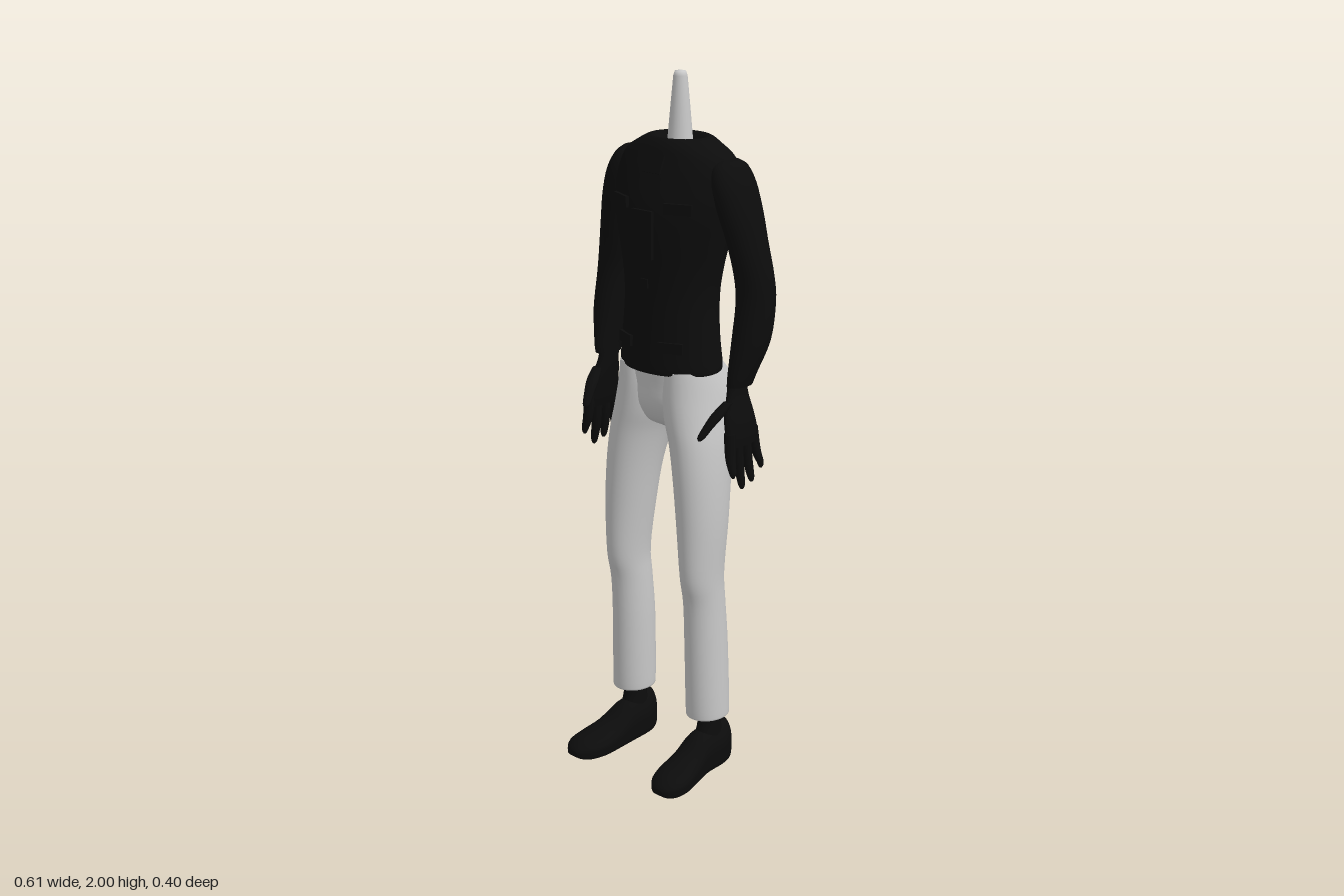
import * as THREE from 'three';

const black = new THREE.MeshStandardMaterial({ color: 0x0c0c0c });
black.name = 'black cloth';
const grey = new THREE.MeshStandardMaterial({ color: 0xc8c8c8 });
grey.name = 'light grey';

// Smooth skin over rings [height, x0, x1, d0, d1].
// axis 'y': rings run downwards, d is z. axis 'z': rings run forwards, d is y.
function loft(name, rings, material, { axis = 'y', seg = 28, sub = 4, low = 2 } = {}) {
  const cr = (p0, p1, p2, p3, t) => 0.5 * (2 * p1 + (p2 - p0) * t
    + (2 * p0 - 5 * p1 + 4 * p2 - p3) * t * t + (3 * p1 - p0 - 3 * p2 + p3) * t * t * t);
  const n = rings.length, fine = [];
  for (let i = 0; i < n - 1; i++) for (let k = 0; k < sub; k++) {
    const a = rings[Math.max(i - 1, 0)], b = rings[i], c = rings[i + 1], d = rings[Math.min(i + 2, n - 1)];
    fine.push(b.map((_, q) => cr(a[q], b[q], c[q], d[q], k / sub)));
  }
  fine.push(rings[n - 1]);
  const pos = [], idx = [];
  const put = (x, h, d) => pos.push(...(axis === 'y' ? [x, h, d] : [x, d, h]));
  const bend = (v, p) => Math.sign(v) * Math.pow(Math.abs(v), 2 / p);
  const ring = ([h, x0, x1, d0, d1]) => {
    for (let j = 0; j < seg; j++) {
      const t = j / seg * Math.PI * 2, p = Math.sin(t) < -1e-6 ? low : 2;
      put((x0 + x1) / 2 + (x1 - x0) / 2 * bend(Math.cos(t), p), h,
        (d0 + d1) / 2 + (d1 - d0) / 2 * bend(Math.sin(t), p));
    }
  };
  fine.forEach(ring);
  for (let i = 0; i < fine.length - 1; i++) for (let j = 0; j < seg; j++) {
    const k = (j + 1) % seg, a = i * seg + j, b = i * seg + k;
    idx.push(a, b, a + seg, b, b + seg, a + seg);
  }
  // end caps
  [fine[0], fine[fine.length - 1]].forEach((r, e) => {
    const s = pos.length / 3;
    ring(r);
    put((r[1] + r[2]) / 2, r[0], (r[3] + r[4]) / 2);
    for (let j = 0; j < seg; j++) {
      const k = (j + 1) % seg;
      idx.push(s + seg, s + (e ? j : k), s + (e ? k : j));
    }
  });
  const g = new THREE.BufferGeometry();
  g.setAttribute('position', new THREE.Float32BufferAttribute(pos, 3));
  g.setIndex(idx);
  g.computeVertexNormals();
  const m = new THREE.Mesh(g, material);
  m.name = name;
  return m;
}

// Rings for the left side, or mirrored for the right
const side = (s, rings) => s > 0 ? rings : rings.map(([h, a, b, c, d]) => [h, -b, -a, c, d]);

// Round-section finger from points [x, y, z, radius]
const fingerRings = pts => pts.map(([x, y, z, r]) => [y, x - r, x + r, z - r, z + r]);

function plate(name, w, h, d, x, y, z, ry = 0, rx = 0) {
  const m = new THREE.Mesh(new THREE.BoxGeometry(w, h, d), black);
  m.name = name;
  m.position.set(x, y, z);
  m.rotation.set(rx, ry, 0);
  return m;
}

export function createModel() {
  const model = new THREE.Group();
  model.name = 'figure';

  // Neck peg
  const neck = new THREE.Mesh(new THREE.LatheGeometry([
    [0.04, 1.77], [0.035, 1.81], [0.027, 1.9], [0.019, 1.985], [0.015, 1.997], [0, 2],
  ].map(p => new THREE.Vector2(...p)), 24), grey);
  neck.name = 'neck';
  neck.position.z = -0.078;
  model.add(neck);

  // Jacket body, from the inside of the collar down to the hem
  model.add(loft('jacket', [
    [1.8, -0.045, 0.045, -0.125, -0.03], [1.822, -0.065, 0.065, -0.14, -0.018],
    [1.829, -0.09, 0.09, -0.152, -0.008], [1.81, -0.13, 0.13, -0.166, 0.008],
    [1.78, -0.175, 0.175, -0.178, 0.02], [1.73, -0.195, 0.195, -0.187, 0.04],
    [1.65, -0.188, 0.188, -0.19, 0.066], [1.57, -0.17, 0.17, -0.182, 0.07],
    [1.48, -0.15, 0.15, -0.168, 0.066], [1.4, -0.142, 0.142, -0.158, 0.064],
    [1.3, -0.148, 0.148, -0.154, 0.067], [1.215, -0.157, 0.157, -0.16, 0.071],
    [1.2, -0.153, 0.153, -0.157, 0.067],
  ], black, { seg: 40 }));

  // Jacket front details
  model.add(plate('placket', 0.07, 0.13, 0.009, 0, 1.585, 0.073));
  model.add(plate('collarTab', 0.06, 0.05, 0.009, 0, 1.765, 0.026, 0, -0.4));
  model.add(plate('hemButton', 0.025, 0.025, 0.008, 0, 1.45, 0.066));

  // Trouser seat
  model.add(loft('trouserSeat', [
    [1.215, -0.146, 0.146, -0.15, 0.055], [1.16, -0.156, 0.156, -0.18, 0.05],
    [1.1, -0.165, 0.165, -0.18, 0.045], [1.05, -0.13, 0.13, -0.14, 0.02],
    [1.025, -0.06, 0.06, -0.095, -0.02],
  ], grey, { seg: 36 }));

  for (const s of [1, -1]) {
    const p = s > 0 ? 'left' : 'right';
    const part = (name, rings, mat, opt) => model.add(loft(p + name, side(s, rings), mat, opt));

    // Trouser leg
    part('TrouserLeg', [
      [1.21, 0.01, 0.148, -0.145, 0.052], [1.14, -0.005, 0.166, -0.198, 0.055],
      [1.07, 0.005, 0.179, -0.187, 0.057], [1, 0.03, 0.19, -0.155, 0.058],
      [0.9, 0.052, 0.197, -0.125, 0.06], [0.77, 0.07, 0.199, -0.107, 0.06],
      [0.62, 0.086, 0.192, -0.092, 0.056], [0.53, 0.085, 0.192, -0.097, 0.038],
      [0.4, 0.082, 0.196, -0.107, 0.03], [0.2, 0.083, 0.202, -0.111, 0.025],
      [0.178, 0.087, 0.199, -0.107, 0.021], [0.17, 0.098, 0.188, -0.096, 0.01],
    ], grey);

    // Ankle and shoe
    part('Ankle', [
      [0.2, 0.116, 0.174, -0.087, -0.01], [0.15, 0.116, 0.174, -0.087, -0.01],
      [0.08, 0.108, 0.182, -0.1, 0.01],
    ], black, { seg: 16 });
    part('Shoe', [
      [-0.121, 0.125, 0.168, 0.02, 0.11], [-0.108, 0.112, 0.18, 0.006, 0.137],
      [-0.07, 0.1, 0.19, 0.004, 0.13], [0, 0.098, 0.192, 0.004, 0.127],
      [0.06, 0.098, 0.204, 0.004, 0.09], [0.12, 0.1, 0.217, 0.004, 0.07],
      [0.165, 0.114, 0.214, 0.005, 0.06], [0.19, 0.135, 0.198, 0.01, 0.045],
      [0.199, 0.15, 0.182, 0.018, 0.034],
    ], black, { axis: 'z', low: 5 });

    // Sleeve
    part('Sleeve', [
      [1.783, 0.15, 0.192, -0.11, -0.05], [1.765, 0.13, 0.212, -0.138, -0.022],
      [1.72, 0.135, 0.235, -0.153, -0.006], [1.65, 0.155, 0.257, -0.155, -0.01],
      [1.57, 0.178, 0.276, -0.152, -0.025], [1.48, 0.193, 0.297, -0.153, -0.04],
      [1.41, 0.2, 0.305, -0.152, -0.04], [1.31, 0.203, 0.303, -0.135, -0.022],
      [1.22, 0.212, 0.278, -0.1, -0.005], [1.19, 0.214, 0.268, -0.092, -0.003],
    ], black, { seg: 24 });

    // Hand with four fingers and a thumb
    part('Palm', [
      [1.22, 0.217, 0.255, -0.08, -0.012], [1.17, 0.217, 0.257, -0.08, -0.005],
      [1.11, 0.226, 0.272, -0.093, 0.02], [1.06, 0.237, 0.28, -0.1, 0.026],
      [1.03, 0.245, 0.279, -0.095, 0.022],
    ], black, { seg: 18 });
    [[0.013, 0.018, 0.948], [-0.018, -0.02, 0.908], [-0.05, -0.06, 0.918], [-0.08, -0.1, 0.948]]
      .forEach(([z0, z1, y1], i) => part('Finger' + (i + 1), fingerRings([
        [0.259, 1.07, z0, 0.016], [0.264, (1.06 + y1) / 2, (z0 + z1) / 2, 0.0145],
        [0.274, y1 + 0.015, z1, 0.01], [0.276, y1, z1, 0.004],
      ]), black, { seg: 10 }));
    part('Thumb', fingerRings([
      [0.24, 1.15, 0, 0.014], [0.23, 1.12, 0.03, 0.018],
      [0.219, 1.088, 0.058, 0.014], [0.212, 1.065, 0.075, 0.011], [0.21, 1.055, 0.08, 0.004],
    ]), black, { seg: 10 });

    // Chest and hip pocket flaps
    model.add(plate(p + 'ChestFlap', 0.08, 0.03, 0.009, s * 0.1, 1.66, 0.047, s * 0.4));
    model.add(plate(p + 'HipFlap', 0.07, 0.03, 0.009, s * 0.08, 1.28, 0.052, s * 0.4));
  }
  return model;
}
